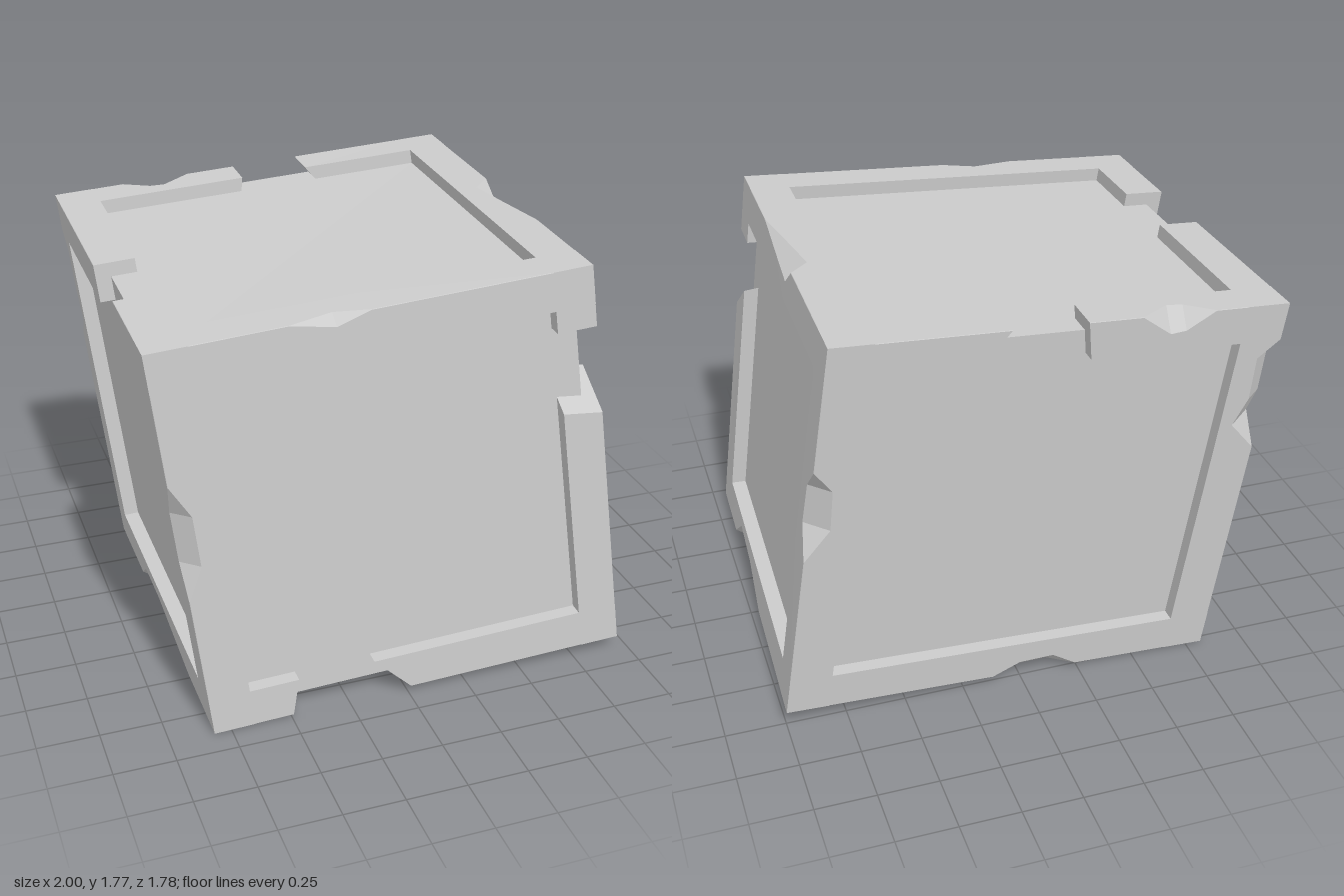
import * as THREE from 'three';

const IN = 0.81;   // inner edge of the frame, in unit-cube coordinates
const CORE = 0.93; // face of the recessed panels

// Corners of the leaning block, indexed by x + 2y + 4z (0 = low side, 1 = high side)
const CORNERS = [
  [-0.82, 0.0, -0.78], [1.0, 0.08, -0.78], [-1.0, 1.67, -0.89], [0.78, 1.77, -0.89],
  [-0.82, 0.0, 0.89], [0.95, 0.06, 0.89], [-1.0, 1.62, 0.79], [0.755, 1.735, 0.79],
].map((c) => new THREE.Vector3(...c));

// Maps a point of the cube -1..1 into the leaning block
function warp(p) {
  const out = new THREE.Vector3();
  CORNERS.forEach((c, n) => {
    let weight = 1;
    for (let k = 0; k < 3; k++) weight *= 0.5 + ((n >> k) & 1 ? 0.5 : -0.5) * p[k];
    out.addScaledVector(c, weight);
  });
  return out;
}

// Box between two opposite corners, warped
function warpedBox(min, max) {
  const geo = new THREE.BoxGeometry(1, 1, 1).toNonIndexed();
  const pos = geo.attributes.position;
  for (let n = 0; n < pos.count; n++) {
    const unit = [pos.getX(n), pos.getY(n), pos.getZ(n)];
    const v = warp(unit.map((u, k) => min[k] + (u + 0.5) * (max[k] - min[k])));
    pos.setXYZ(n, v.x, v.y, v.z);
  }
  geo.computeVertexNormals();
  return geo;
}

// Frame bar along an axis; stations are [t, chipped corner size, end slant a, end slant b]
function bar(axis, sa, sb, stations) {
  const rings = stations.map(([t, chip, slantA = 0, slantB = 0]) => {
    const c = 1 - Math.max(chip, 0.002);
    return [[IN, IN], [1, IN], [1, c], [c, 1], [IN, 1]].map(([a, b]) => {
      const p = [0, 0, 0];
      p[axis] = t + (slantA * (1 - a) + slantB * (1 - b)) / (1 - IN);
      p[(axis + 1) % 3] = a * sa;
      p[(axis + 2) % 3] = b * sb;
      return warp(p);
    });
  });
  const points = [];
  const tri = (a, b, c) => points.push(...(sa * sb > 0 ? [a, b, c] : [a, c, b]));
  for (let s = 0; s + 1 < rings.length; s++) {
    const r0 = rings[s], r1 = rings[s + 1];
    for (let n = 0; n < 5; n++) {
      const m = (n + 1) % 5;
      tri(r0[n], r0[m], r1[m]);
      tri(r0[n], r1[m], r1[n]);
    }
  }
  const first = rings[0], last = rings[rings.length - 1];
  for (let n = 1; n < 4; n++) {
    tri(first[0], first[n + 1], first[n]);
    tri(last[0], last[n], last[n + 1]);
  }
  const geo = new THREE.BufferGeometry().setFromPoints(points);
  geo.computeVertexNormals();
  return geo;
}

// Twelve edges: name, axis, signs on the next two axes, unbroken runs of stations
const LO = [-IN, 0], HI = [IN, 0];
const EDGES = [
  ['frontBottomBar', 0, -1, 1, [[LO, [-0.63, 0, 0.05]], [[-0.06, 0, -0.16], HI]]],
  ['backBottomBar', 0, -1, -1, [[LO, [-0.36, 0], [-0.24, 0.08], [-0.08, 0.07], [0.04, 0], HI]]],
  ['frontTopBar', 0, 1, 1, [[LO, [-0.38, 0], [-0.18, 0.05], [-0.02, 0], HI]]],
  ['backTopBar', 0, 1, -1, [
    [LO, [-0.66, 0], [-0.54, 0.09], [-0.47, 0.1], [-0.33, 0], [-0.09, 0, -0.04]],
    [[0.24, 0, 0.12], HI]]],
  ['frontLeftPost', 1, 1, 1, [[LO, [0.26, 0, 0.16, 0.03]], [[0.7, 0], HI]]],
  ['frontRightPost', 1, 1, -1, [[LO, [-0.25, 0], [-0.08, 0.08], [0.18, 0.08], [0.35, 0], HI]]],
  ['backLeftPost', 1, -1, 1, [[LO, [-0.1, 0], [0.06, 0.1], [0.27, 0.09], [0.38, 0], HI]]],
  ['backRightPost', 1, -1, -1, [[LO, [0.22, 0], [0.36, 0.13], [0.5, 0.08], [0.72, 0.09], HI]]],
  ['leftBottomBar', 2, 1, -1, [[LO, [-0.18, 0], [0.15, 0.1], [0.45, 0.13], [0.6, 0], HI]]],
  ['rightBottomBar', 2, -1, -1, [[LO, [-0.5, 0], [-0.35, 0.11], [-0.05, 0.11], [0.5, 0], HI]]],
  ['leftTopBar', 2, 1, 1, [[LO, [-0.23, 0], [-0.13, 0.09], [0.12, 0.05], [0.4, 0], HI]]],
  ['rightTopBar', 2, -1, 1, [[LO, [-0.01, 0]], [[0.42, 0], HI]]],
];

export function createModel() {
  const model = new THREE.Group();
  model.name = 'chippedCrate';
  const material = new THREE.MeshStandardMaterial({ color: 0xcccccc, flatShading: true });
  const add = (name, geo) => {
    const mesh = new THREE.Mesh(geo, material);
    mesh.name = name;
    model.add(mesh);
  };

  // Recessed panels on all six sides
  add('core', warpedBox([-CORE, -CORE, -CORE], [CORE, CORE, CORE]));

  // Corner blocks
  for (const x of [-1, 1]) for (const y of [-1, 1]) for (const z of [-1, 1]) {
    const s = [x, y, z];
    add('cornerBlock', warpedBox(s.map((v) => (v > 0 ? IN : -1)), s.map((v) => (v > 0 ? 1 : -IN))));
  }

  // Chipped and broken frame bars
  for (const [name, axis, sa, sb, runs] of EDGES) {
    for (const run of runs) add(name, bar(axis, sa, sb, run));
  }
  return model;
}
